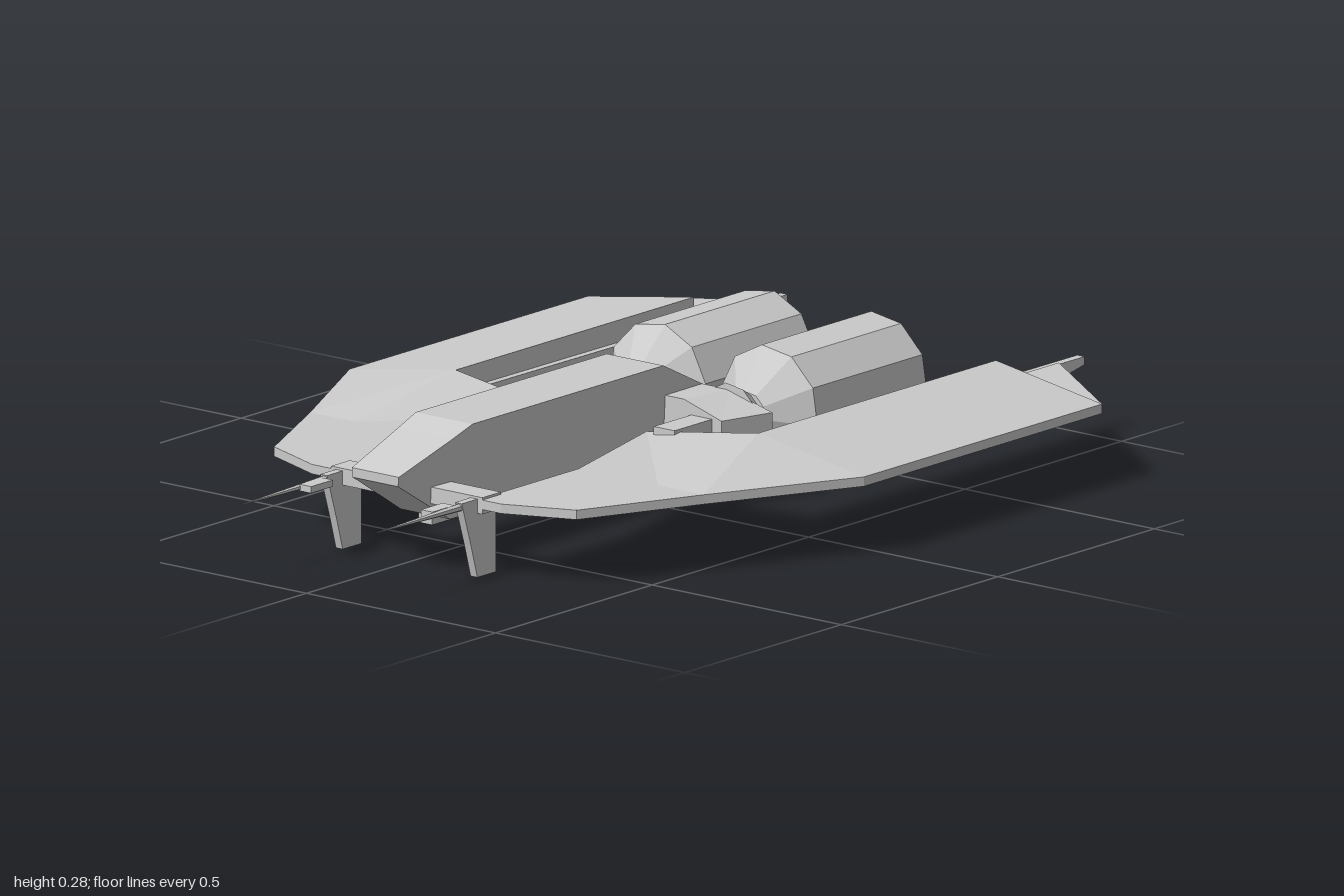
import * as THREE from 'three';

const mat = new THREE.MeshStandardMaterial({ color: 0xcccccc, flatShading: true, side: THREE.DoubleSide });

// Joins convex cross-sections (equal point counts, counter-clockwise in x/y, listed front to back)
function loft(sections) {
  const n = sections[0].length, pos = [];
  const tri = (a, b, c) => pos.push(...a, ...b, ...c);
  for (let s = 0; s < sections.length - 1; s++) {
    const A = sections[s], B = sections[s + 1];
    for (let i = 0; i < n; i++) {
      const j = (i + 1) % n;
      tri(A[i], B[i], B[j]);
      tri(A[i], B[j], A[j]);
    }
  }
  const first = sections[0], last = sections[sections.length - 1];
  for (let i = 1; i < n - 1; i++) {
    tri(first[0], first[i], first[i + 1]);
    tri(last[0], last[i + 1], last[i]);
  }
  const g = new THREE.BufferGeometry();
  g.setAttribute('position', new THREE.Float32BufferAttribute(pos, 3));
  g.computeVertexNormals();
  return g;
}

// Box given by its limits on each axis
function span(x0, x1, y0, y1, z0, z1) {
  return new THREE.BoxGeometry(x1 - x0, y1 - y0, z1 - z0)
    .translate((x0 + x1) / 2, (y0 + y1) / 2, (z0 + z1) / 2);
}

// Outline in (z, y) extruded across x
function sidePlate(points, x0, x1) {
  const shape = new THREE.Shape(points.map(([z, y]) => new THREE.Vector2(-z, y)));
  return new THREE.ExtrudeGeometry(shape, { depth: x1 - x0, bevelEnabled: false })
    .rotateY(Math.PI / 2).translate(x0, 0, 0);
}

// Reflected copy in x with the corner order restored
function mirrored(geometry) {
  const g = geometry.index ? geometry.toNonIndexed() : geometry.clone();
  g.scale(-1, 1, 1);
  const p = g.attributes.position;
  const a = new THREE.Vector3(), b = new THREE.Vector3();
  for (let i = 0; i < p.count; i += 3) {
    a.fromBufferAttribute(p, i + 1);
    b.fromBufferAttribute(p, i + 2);
    p.setXYZ(i + 1, b.x, b.y, b.z);
    p.setXYZ(i + 2, a.x, a.y, a.z);
  }
  g.computeVertexNormals();
  return g;
}

export function createModel() {
  const model = new THREE.Group();
  model.name = 'spacecraft';
  const add = (name, geometry) => {
    const m = new THREE.Mesh(geometry, mat);
    m.name = name;
    model.add(m);
  };
  const addPair = (name, geometry) => {
    add(name + 'Left', geometry);
    add(name + 'Right', mirrored(geometry));
  };

  // Fuselage: z, top half width, bottom half width, top, bottom
  add('fuselage', loft([
    [0.78, 0.062, 0.06, 0.21, 0.19],
    [0.62, 0.072, 0.065, 0.26, 0.09],
    [0.56, 0.075, 0.065, 0.28, 0.09],
    [-0.05, 0.075, 0.065, 0.28, 0.09],
    [-0.18, 0.07, 0.065, 0.215, 0.09],
  ].map(([z, t, b, y1, y0]) => [[-b, y0, z], [b, y0, z], [t, y1, z], [-t, y1, z]])));

  // Keel, its cross bar and the tail block
  add('keel', span(-0.018, 0.018, 0.07, 0.095, -0.5, 0.62));
  add('keelCrossBar', span(-0.137, 0.137, 0.07, 0.092, -0.13, -0.09));
  add('tailBlock', span(-0.022, 0.022, 0.09, 0.15, -0.51, -0.44));

  // Engine carrier behind the fuselage
  add('engineCarrier', loft([[-0.06, 0.22], [-0.18, 0.255]].map(([z, w]) => [
    [-w * 0.8, 0.1, z], [w * 0.8, 0.1, z], [w, 0.135, z], [w, 0.185, z],
    [w * 0.55, 0.215, z], [-w * 0.55, 0.215, z], [-w, 0.185, z], [-w, 0.135, z],
  ])));

  // Wing: z, inner edge, ridge, outer edge, half thickness at the ridge
  const Y = 0.155, T = 0.01;
  const wingSection = ([z, xi, xp, xo, h, hi = T]) => [
    [xi, Y - hi, z], [xp, Y - h, z], [xo, Y - T, z],
    [xo, Y + T, z], [xp, Y + h, z], [xi, Y + hi, z],
  ];
  addPair('frontWing', loft([
    [0.68, 0.19, 0.22, 0.25, T],
    [0.62, 0.19, 0.3, 0.4, T],
    [0.36, 0.19, 0.4, 0.52, T],
    [0.04, 0.105, 0.4, 0.68, 0.055],
  ].map(wingSection)));
  addPair('rearWing', loft([
    [0.04, 0.399, 0.4, 0.68, 0.055, 0.055],
    [-0.72, 0.399, 0.4, 0.68, 0.055, 0.055],
  ].map(wingSection)));

  // Thin swept tip and the rail along the inner wing edge
  const tip = new THREE.Shape([[0.4, 0.72], [0.68, 0.72], [0.4, 0.92]].map((p) => new THREE.Vector2(...p)));
  addPair('wingTip', new THREE.ExtrudeGeometry(tip, { depth: 0.02, bevelEnabled: false })
    .rotateX(-Math.PI / 2).translate(0, 0.145, 0));
  addPair('wingRail', sidePlate(
    [[0.04, 0.165], [-1, 0.162], [-1, 0.145], [-0.92, 0.13], [0.04, 0.13]], 0.383, 0.402));

  // Struts between wings and body
  addPair('rearStrut', span(0.14, 0.195, 0.125, 0.185, -0.07, 0.06));
  addPair('frontStrut', span(0.06, 0.2, 0.135, 0.17, 0.62, 0.68));

  // Landing fins, gun mounts and tapered barrels at the front
  addPair('landingFin', sidePlate(
    [[0.73, 0.165], [0.62, 0.165], [0.62, 0], [0.68, 0], [0.7, 0.07]], 0.169, 0.187));
  addPair('gunBlock', span(0.145, 0.176, 0.148, 0.162, 0.74, 0.81));
  addPair('gunBarrel', new THREE.CylinderGeometry(0.001, 0.009, 0.28, 6)
    .rotateX(Math.PI / 2).translate(0.178, Y, 0.85));

  // Engines: hollow faceted drum with tapered front, neck and exhaust cone
  const lathe = (pts) => new THREE.LatheGeometry(pts.map((p) => new THREE.Vector2(...p)), 10)
    .rotateX(Math.PI / 2).rotateZ(Math.PI / 20).translate(0.148, Y, 0);
  addPair('engineDrum', lathe([
    [0, -0.45], [0.09, -0.45], [0.113, -0.65], [0.129, -0.65],
    [0.129, -0.3], [0.045, -0.232], [0, -0.232],
  ]));
  addPair('engineNeck', lathe([[0.034, -0.24], [0.034, -0.2]]));
  addPair('engineCollar', lathe([[0, -0.215], [0.05, -0.215], [0.075, -0.175], [0, -0.175]]));
  addPair('exhaustCone', lathe([[0, -0.56], [0.02, -0.54], [0.045, -0.45]]));

  return model;
}
